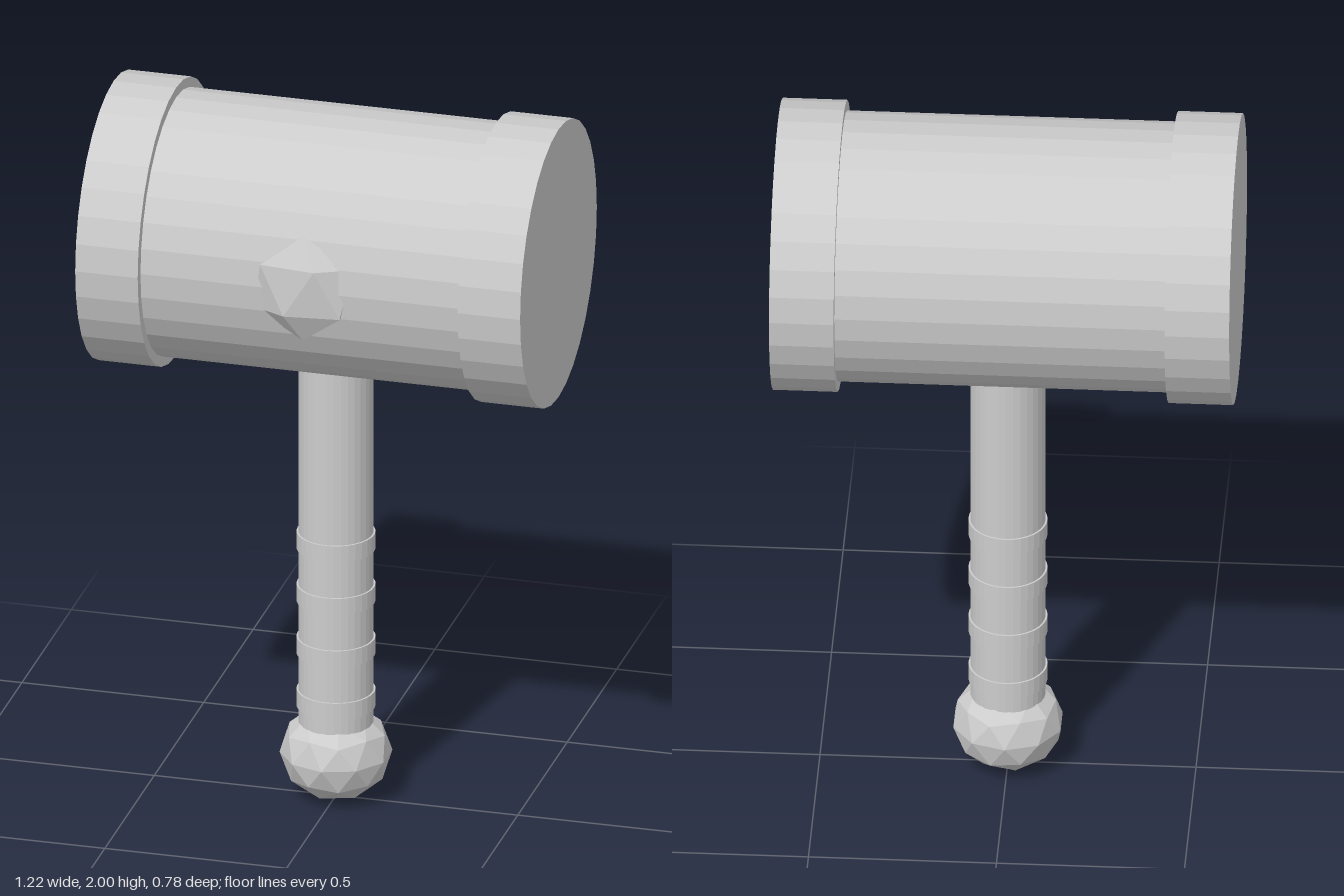
import * as THREE from 'three';

const SIDES = 32;
const HEAD_Y = 1.612;

export function createModel() {
  const model = new THREE.Group();
  model.name = 'mallet';
  const grey = new THREE.MeshStandardMaterial({ color: 0xcccccc, flatShading: true });
  grey.name = 'light grey';

  const add = (name, geometry, x, y, z) => {
    const mesh = new THREE.Mesh(geometry, grey);
    mesh.name = name;
    mesh.position.set(x, y, z);
    model.add(mesh);
    return mesh;
  };

  // Cylinder lying along x
  const drum = (radius, length) =>
    new THREE.CylinderGeometry(radius, radius, length, SIDES).rotateZ(Math.PI / 2);

  // Faceted ball with one corner straight up and one down
  const facetedBall = (radius, detail) =>
    new THREE.IcosahedronGeometry(radius, detail)
      .rotateX(-Math.atan((1 + Math.sqrt(5)) / 2))
      .rotateY(Math.PI / 2);

  // Head with a wider band at each end
  add('headBarrel', drum(0.36, 0.9), 0, HEAD_Y, 0);
  for (const [name, side] of [['leftHeadBand', 1], ['rightHeadBand', -1]]) {
    add(name, drum(0.388, 0.172), side * 0.526, HEAD_Y, 0);
  }

  // Flattened gem set into the front of the head
  add('frontGem', facetedBall(0.151, 0).scale(1, 1, 0.35), 0, HEAD_Y, 0.338);

  // Handle, grip rings and pommel
  add('handle', new THREE.CylinderGeometry(0.1, 0.1, 1.2, SIDES), 0, 0.75, 0);
  for (let i = 0; i < 4; i++) {
    add('gripRing' + (i + 1), new THREE.CylinderGeometry(0.105, 0.105, 0.048, SIDES),
      0, 0.287 + i * 0.152, 0);
  }
  add('pommel', facetedBall(0.15, 1).scale(1, 0.867, 1), 0, 0.13, 0);

  return model;
}
